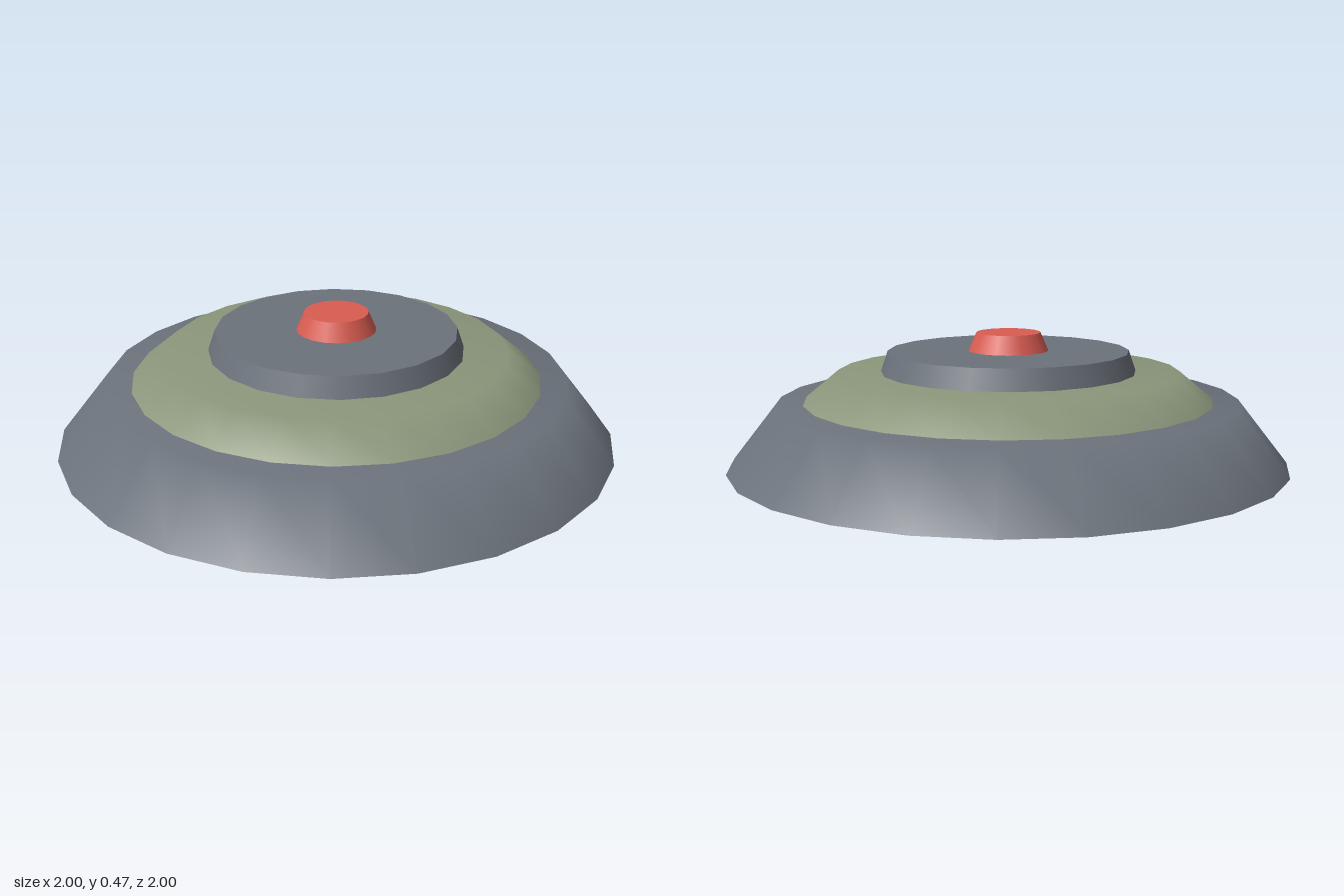
import * as THREE from 'three';

const grey = new THREE.MeshStandardMaterial({ name: 'slate grey', color: 0x6b727b });
const olive = new THREE.MeshStandardMaterial({ name: 'olive green', color: 0x8b967b });
const red = new THREE.MeshStandardMaterial({ name: 'button red', color: 0xd95c51 });

export function createModel() {
  const model = new THREE.Group();
  model.name = 'pressureDisc';

  const add = (name, geometry, material, y = 0) => {
    const mesh = new THREE.Mesh(geometry, material);
    mesh.name = name;
    mesh.position.y = y;
    model.add(mesh);
    return mesh;
  };

  // Softly shaded step: sloping wall that rolls over into a flat top
  const step = (name, bottomRadius, topRadius, y, height, material) => add(name,
    new THREE.LatheGeometry([
      new THREE.Vector2(bottomRadius, 0),
      new THREE.Vector2(topRadius, height),
      new THREE.Vector2(0, height),
    ], 24), material, y);

  // Crisp tapered disc with flat caps
  const disc = (name, bottomRadius, topRadius, y, height, sides, material) => add(name,
    new THREE.CylinderGeometry(topRadius, bottomRadius, height, sides), material, y + height / 2);

  step('base', 1, 0.82, 0, 0.23, grey);
  step('middleRing', 0.73, 0.61, 0.23, 0.1, olive);
  disc('pressurePlate', 0.455, 0.43, 0.33, 0.073, 20, grey);
  disc('button', 0.142, 0.114, 0.403, 0.065, 20, red);

  // Flat underside
  add('underside', new THREE.CircleGeometry(1, 24).rotateX(Math.PI / 2), grey);

  return model;
}
